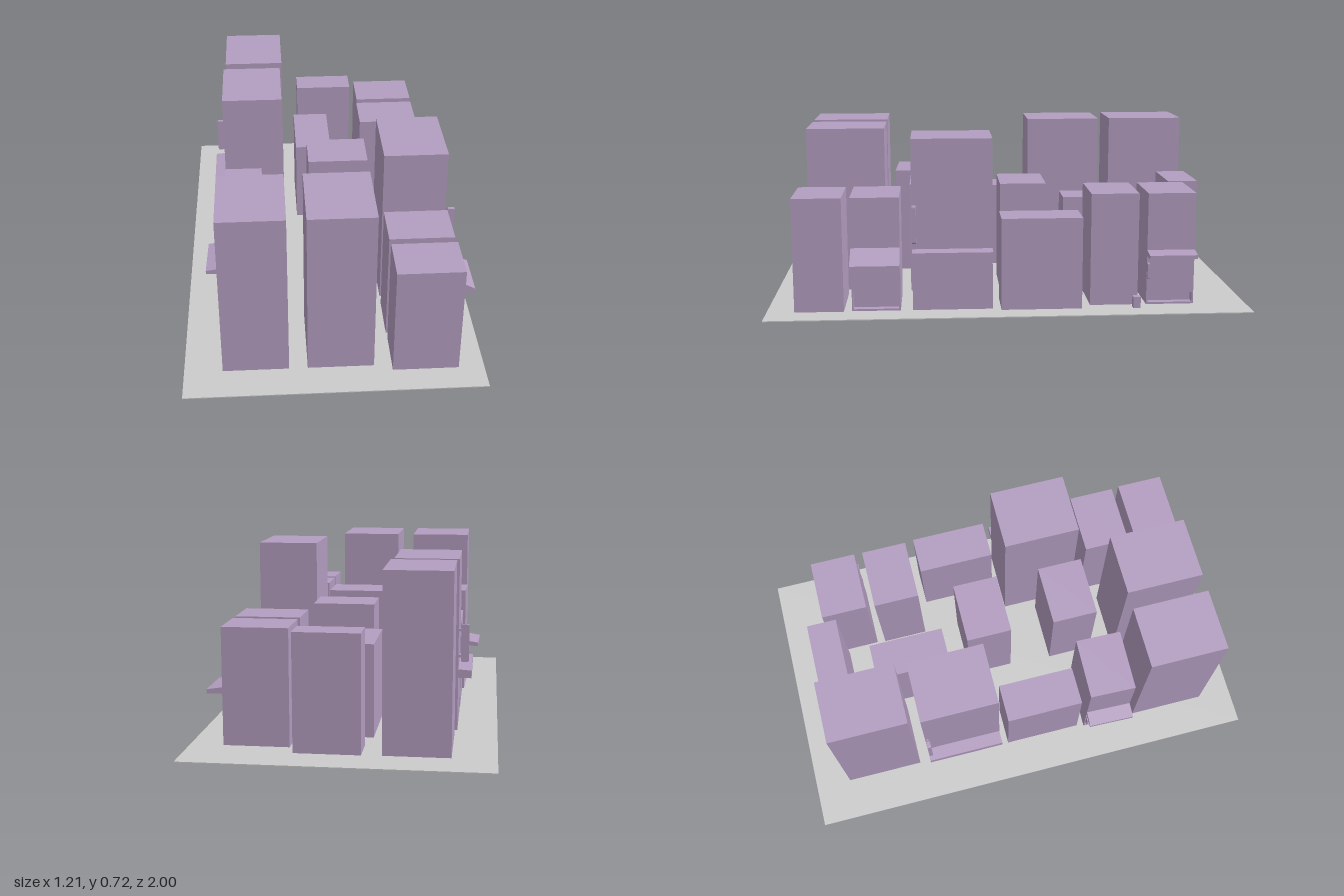
import * as THREE from 'three';

const wall = new THREE.MeshStandardMaterial({ color: 0xb39dc0, flatShading: true });
const grey = new THREE.MeshStandardMaterial({ color: 0xcccccc, flatShading: true });
const FLOOR = 0.006;

// Box given by its ranges on each axis
function box(name, x0, x1, y0, y1, z0, z1, material = wall) {
  const mesh = new THREE.Mesh(new THREE.BoxGeometry(x1 - x0, y1 - y0, z1 - z0), material);
  mesh.position.set((x0 + x1) / 2, (y0 + y1) / 2, (z0 + z1) / 2);
  mesh.name = name;
  return mesh;
}

// Side profile in x,y pulled along z
function slab(name, points, z0, z1) {
  const shape = new THREE.Shape(points.map(([x, y]) => new THREE.Vector2(x, y)));
  const geometry = new THREE.ExtrudeGeometry(shape, { depth: z1 - z0, bevelEnabled: false });
  geometry.translate(0, 0, z0);
  const mesh = new THREE.Mesh(geometry, wall);
  mesh.name = name;
  return mesh;
}

// Awning with a hollow underside: sloping roof, front lip and two end plates
function awning(x, width, { depth, back, front, bottom }) {
  const group = new THREE.Group();
  group.name = 'awning';
  const t = 0.007, end = x + depth, h = width / 2;
  group.add(slab('awningRoof', [[x, back - t], [end - t, front - t], [end - t, bottom],
    [end, bottom], [end, front], [x, back]], -h, h));
  for (const z of [-h, h - t]) {
    group.add(slab('awningEnd', [[x, bottom], [end, bottom], [end, front], [x, back]], z, z + t));
  }
  return group;
}

// Upright sign with rounded corners, held off the wall by two brackets
function bladeSign(x, y0, y1, depth, z, thickness) {
  const group = new THREE.Group();
  group.name = 'bladeSign';
  const gap = 0.01, r = 0.008, a = x + gap, b = x + depth;
  const s = new THREE.Shape();
  s.moveTo(a + r, y0);
  s.lineTo(b - r, y0);
  s.quadraticCurveTo(b, y0, b, y0 + r);
  s.lineTo(b, y1 - r);
  s.quadraticCurveTo(b, y1, b - r, y1);
  s.lineTo(a + r, y1);
  s.quadraticCurveTo(a, y1, a, y1 - r);
  s.lineTo(a, y0 + r);
  s.quadraticCurveTo(a, y0, a + r, y0);
  const geometry = new THREE.ExtrudeGeometry(s, { depth: thickness, bevelEnabled: false, curveSegments: 4 });
  geometry.translate(0, 0, z - thickness / 2);
  const panel = new THREE.Mesh(geometry, wall);
  panel.name = 'signPanel';
  group.add(panel);
  for (const f of [0.15, 0.85]) {
    const y = y0 + (y1 - y0) * f;
    group.add(box('signBracket', x, a + 0.002, y - 0.005, y + 0.005, z - 0.004, z + 0.004));
  }
  return group;
}

// Building with a low open recess along its +x wall
function recessedBody(w, h, d, top) {
  const group = new THREE.Group();
  group.name = 'shopBody';
  const x = w / 2, z = d / 2, cut = 0.03, rim = 0.007, sill = FLOOR + 0.008;
  group.add(box('upperBody', -x, x, top, h, -z, z));
  group.add(box('lowerBody', -x, x - cut, FLOOR, top, -z, z));
  group.add(box('sill', x - cut, x, FLOOR, sill, -z, z));
  for (const s of [-z, z - rim]) group.add(box('jamb', x - cut, x, sill, top, s, s + rim));
  return group;
}

// Small shop: recess and awning, with an optional little sign
function smallShop(name, top, awningSize, sign) {
  const group = new THREE.Group();
  group.name = name;
  group.add(recessedBody(0.265, 0.48, 0.2, top));
  group.add(awning(0.1325, 0.2, awningSize));
  if (sign) group.add(bladeSign(0.1325, 0.12, 0.19, 0.025, 0.097, 0.008));
  return group;
}

// Tall shop: plain tower with a full-width canopy and a blade sign
function tallShop(name) {
  const group = new THREE.Group();
  group.name = name;
  group.add(box('towerBody', -0.1325, 0.1325, FLOOR, 0.718, -0.165, 0.165));
  group.add(awning(0.1325, 0.33, { depth: 0.055, back: 0.264, front: 0.26, bottom: 0.228 }));
  group.add(bladeSign(0.1325, 0.295, 0.45, 0.043, 0.155, 0.016));
  return group;
}

export function createModel() {
  const model = new THREE.Group();
  model.name = 'cityBlock';
  model.add(box('ground', -0.605, 0.605, 0, 0.004, -1, 1, grey));

  // Plain buildings: x range, z range, height
  const plain = [
    [-0.43, -0.165, -0.845, -0.51, 0.72],
    [-0.45, -0.183, 0.52, 0.853, 0.72],
    [-0.108, 0.16, 0.52, 0.853, 0.72],
    [-0.085, 0.18, -0.85, -0.72, 0.48],
    [0.2, 0.468, -0.54, -0.34, 0.48],
    [-0.063, 0.203, -0.178, 0.022, 0.48],
    [-0.075, 0.19, 0.213, 0.413, 0.48],
    [0.233, 0.5, 0.683, 0.885, 0.48],
    [-0.108, 0.055, -0.605, -0.272, 0.39],
    [0.35, 0.515, -0.3, 0.035, 0.39],
    [-0.44, -0.273, -0.088, 0.247, 0.39],
  ];
  for (const [x0, x1, z0, z1, h] of plain) {
    model.add(box('building', x0, x1, FLOOR, h, z0, z1));
  }

  // Shops along the two long streets
  const place = (part, x, z, turn = 0) => {
    part.position.set(x, 0, z);
    part.rotation.y = turn;
    model.add(part);
  };
  const shallow = { depth: 0.063, back: 0.24, front: 0.23, bottom: 0.214 };
  const steep = { depth: 0.1, back: 0.272, front: 0.22, bottom: 0.2 };
  place(tallShop('leftTallShop'), 0.362, 0.235);
  place(tallShop('rightTallShop'), -0.307, -0.295, Math.PI);
  place(smallShop('awningShop', 0.082, steep, false), 0.362, 0.55);
  place(smallShop('leftSmallShop', 0.055, shallow, true), 0.337, -0.677);
  place(smallShop('rightSmallShop', 0.055, shallow, true), -0.32, 0.382, Math.PI - 0.03);

  // Street post beside the small shop
  model.add(box('streetPost', 0.487, 0.519, 0.004, 0.052, -0.545, -0.515));
  return model;
}
